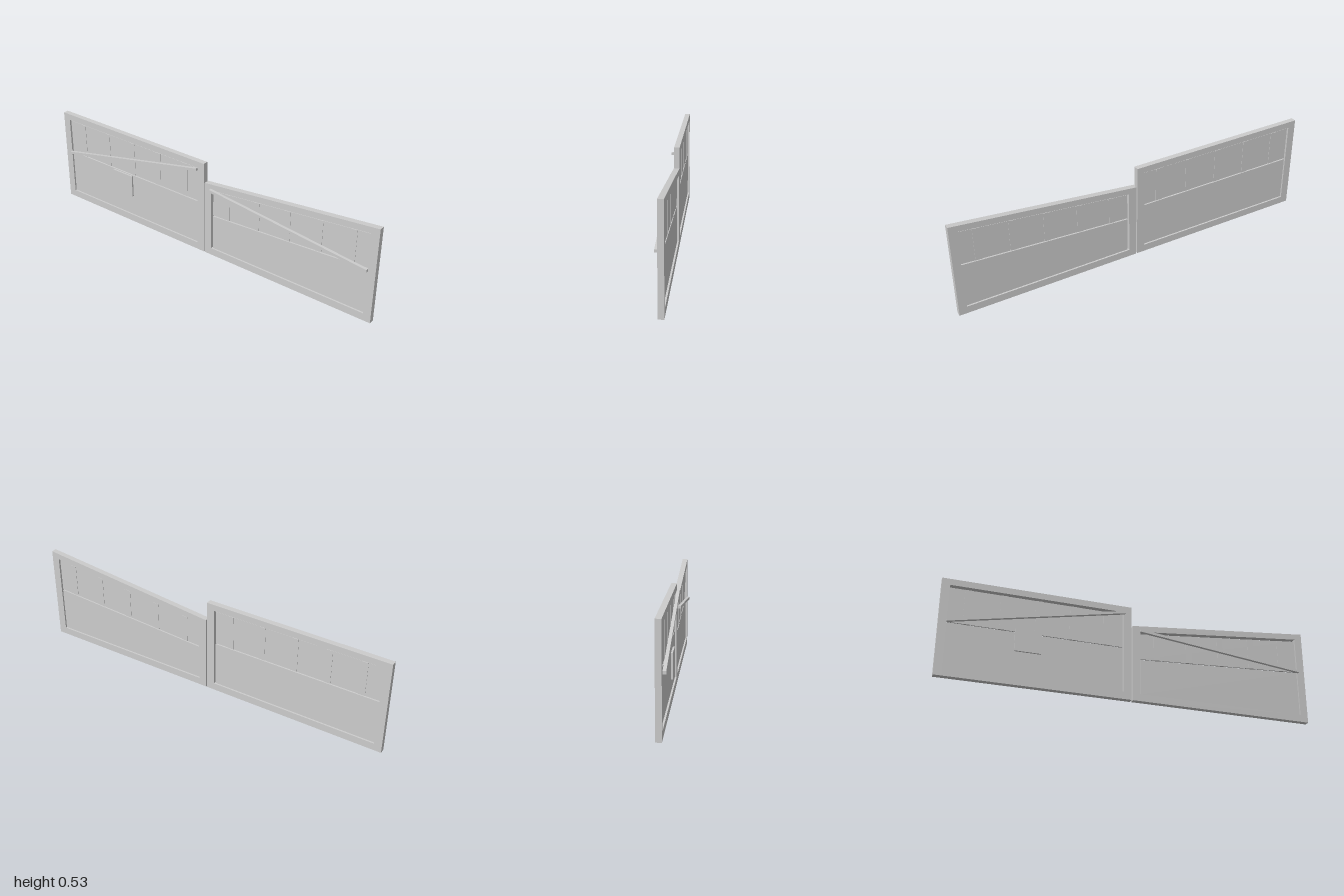
import * as THREE from 'three';

const BACK = -0.024, FACE = 0.005;

export function createModel() {
  const grey = new THREE.MeshStandardMaterial({ color: 0xcccccc });
  grey.name = 'plain grey';
  const model = new THREE.Group();
  model.name = 'doubleGate';

  // Extrudes an outline of [x, y] corners between two depths
  function slab(parent, name, points, z0, z1) {
    const shape = new THREE.Shape(points.map(([x, y]) => new THREE.Vector2(x, y)));
    const geo = new THREE.ExtrudeGeometry(shape, { depth: z1 - z0, bevelEnabled: false });
    const mesh = new THREE.Mesh(geo, grey);
    mesh.name = name;
    mesh.position.z = z0;
    parent.add(mesh);
  }

  // Slab whose lower and upper edges follow functions of x
  function strip(parent, name, x0, x1, low, high, z0 = BACK, z1 = FACE) {
    slab(parent, name, [[x0, low(x0)], [x1, low(x1)], [x1, high(x1)], [x0, high(x0)]], z0, z1);
  }

  // One gate leaf: frame, lower and upper sheets, battens and brace
  function leaf(name, x0, x1, top, middle, railDepth, brace) {
    const g = new THREE.Group();
    g.name = name;
    model.add(g);
    const a = x0 + 0.042, b = x1 - 0.042;
    const floor = () => 0, sill = () => 0.04;
    const railBottom = x => top(x) - railDepth;
    const sheetTop = x => railBottom(x) - 0.009;

    strip(g, 'outerStile', x0, a, floor, top);
    strip(g, 'innerStile', b, x1, floor, top);
    strip(g, 'topRail', a, b, railBottom, top);
    strip(g, 'bottomRail', a, b, floor, sill);

    // Sheets leave a narrow slit at the centre post, the top rail and each other
    const p0 = x0 < -0.5 ? a : a + 0.005;
    const p1 = x0 < -0.5 ? b - 0.005 : b;
    strip(g, 'lowerSheet', p0, p1, sill, x => middle(x) - 0.003, -0.015, -0.004);
    strip(g, 'upperSheet', p0, p1, x => middle(x) + 0.002, sheetTop, -0.013, -0.006);

    // Upright battens on both faces of the upper sheet
    for (let i = 0; i < 5; i++) {
      const x = x0 + 0.12 + i * 0.1815;
      strip(g, 'batten', x, x + 0.034, x => middle(x) + 0.002, sheetTop, -0.015, -0.004);
    }

    // Diagonal brace across the front
    const [xa, ya, xb, yb] = brace;
    const line = d => x => ya + (yb - ya) * (x - xa) / (xb - xa) + d;
    strip(g, 'brace', xa, xb, line(-0.007), line(0.007), FACE, 0.021);
  }

  leaf('levelLeaf', -1, -0.003, () => 0.527, () => 0.291, 0.034,
    [-0.96, 0.292, -0.042, 0.487]);
  leaf('slopedLeaf', 0.003, 1, x => 0.42 + 0.107 * x, x => 0.234 + 0.06 * x, 0.033,
    [0.042, 0.393, 0.96, 0.291]);

  // Blank notice plate
  const plate = new THREE.Mesh(new THREE.BoxGeometry(0.137, 0.124, 0.009), grey);
  plate.name = 'noticePlate';
  plate.position.set(-0.553, 0.237, 0.0205);
  model.add(plate);

  return model;
}
